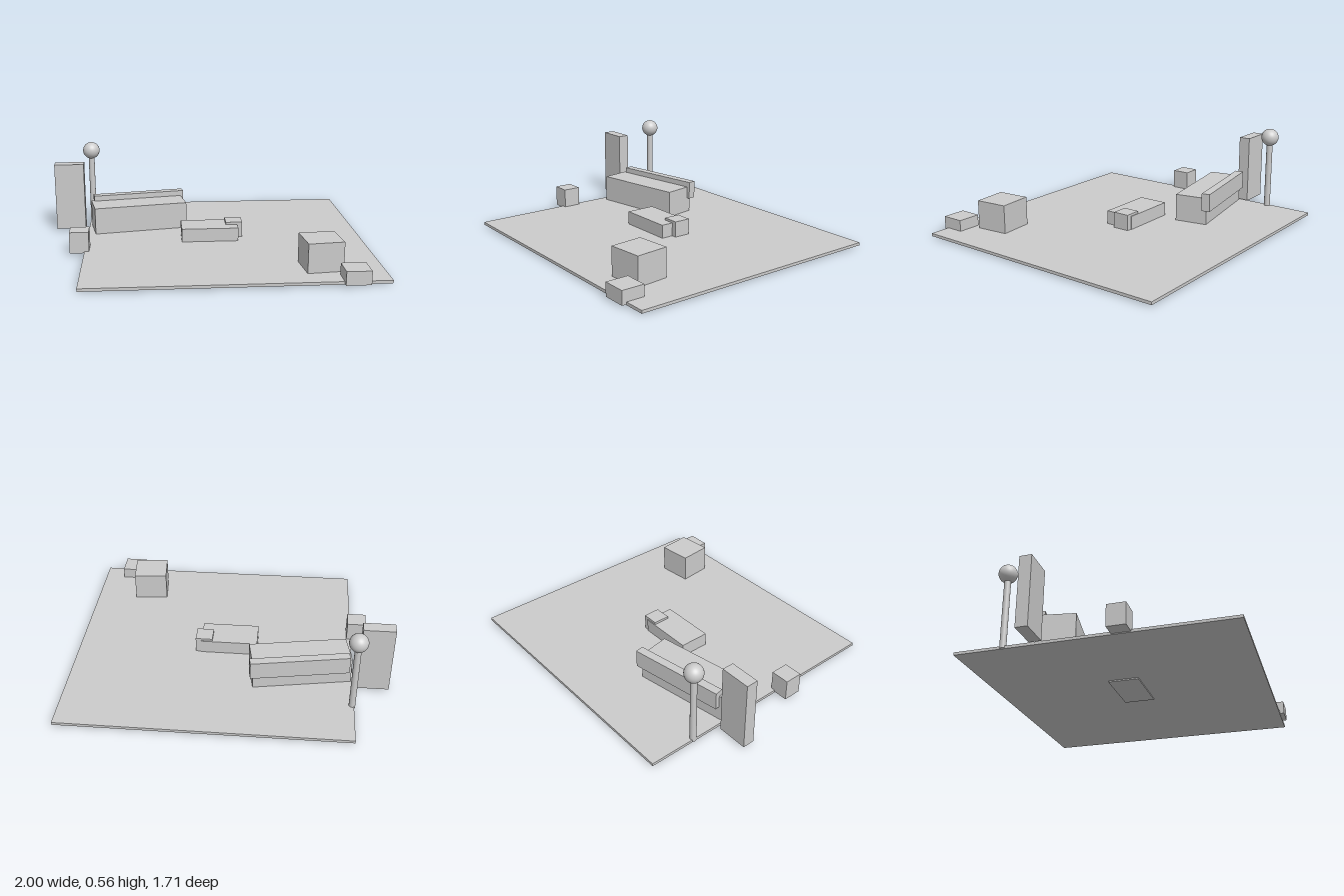
import * as THREE from 'three';

const material = new THREE.MeshStandardMaterial({ color: 0xcccccc });

export function createModel() {
  const room = new THREE.Group();
  room.name = 'room';

  function add(parent, name, geometry, x, y, z) {
    const mesh = new THREE.Mesh(geometry, material);
    mesh.name = name;
    mesh.position.set(x, y, z);
    parent.add(mesh);
    return mesh;
  }

  // Box given by its centre and size on the floor plan, its bottom and top, and a turn in degrees
  function block(parent, name, [x, z], [w, d], [bottom, top], turn = 0) {
    const geometry = new THREE.BoxGeometry(w, top - bottom, d);
    const mesh = add(parent, name, geometry, x, (bottom + top) / 2, z);
    mesh.rotation.y = THREE.MathUtils.degToRad(turn);
    return mesh;
  }

  block(room, 'floor', [0.11, -0.015], [1.78, 1.68], [0.008, 0.026]);

  // Sofa: seat with a thin backrest, turned slightly
  const sofa = new THREE.Group();
  sofa.name = 'sofa';
  room.add(sofa);
  block(sofa, 'sofaSeat', [-0.444, -0.284], [0.615, 0.21], [0.015, 0.2], 10);
  block(sofa, 'sofaBack', [-0.444, -0.393], [0.615, 0.054], [0.12, 0.235], 10);

  // Low table and the small block at its end
  block(room, 'lowTable', [0.016, -0.022], [0.364, 0.194], [0, 0.112]);
  block(room, 'tableSideBlock', [0.178, -0.059], [0.108, 0.108], [0.015, 0.127]);

  // Loose furniture around the floor
  block(room, 'tallCabinet', [-0.903, -0.338], [0.194, 0.075], [0.013, 0.46]);
  block(room, 'sideStool', [-0.811, 0.153], [0.12, 0.115], [0.014, 0.15]);
  block(room, 'armchair', [0.633, 0.573], [0.218, 0.21], [0.015, 0.206], 5.7);
  block(room, 'cornerStool', [0.794, 0.782], [0.148, 0.143], [0.012, 0.096]);

  // Floor lamp: pole and globe
  const lamp = new THREE.Group();
  lamp.name = 'floorLamp';
  lamp.position.set(-0.768, 0, -0.552);
  room.add(lamp);
  add(lamp, 'lampPole', new THREE.CylinderGeometry(0.02, 0.02, 0.46, 24), 0, 0.243, 0);
  add(lamp, 'lampGlobe', new THREE.SphereGeometry(0.057, 32, 20), 0, 0.502, 0);

  return room;
}
